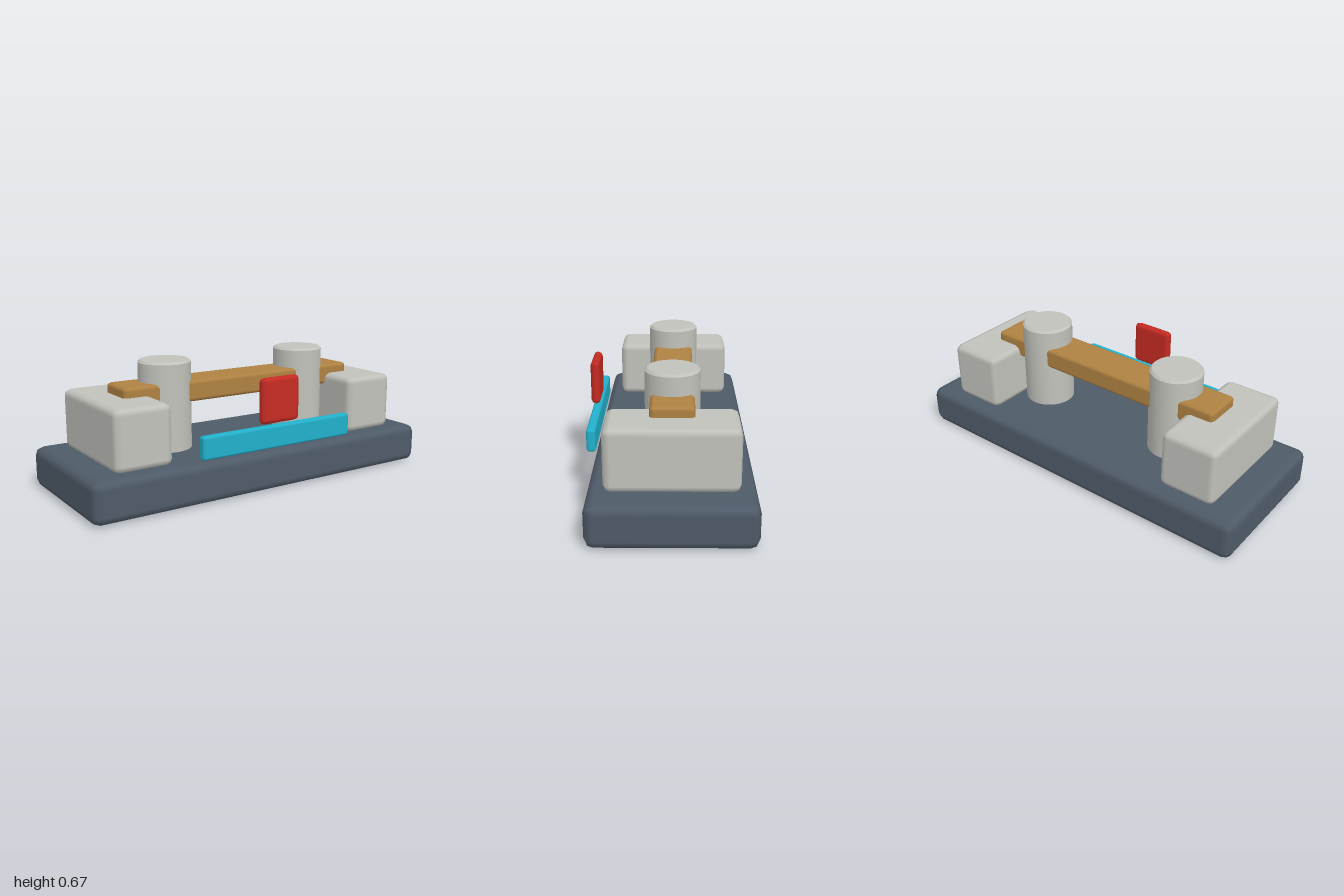
import * as THREE from 'three';
import { toCreasedNormals } from 'three/addons/utils/BufferGeometryUtils.js';
import { RoundedBoxGeometry } from 'three/addons/geometries/RoundedBoxGeometry.js';

function material(name, color) {
  const m = new THREE.MeshStandardMaterial({ color });
  m.name = name;
  return m;
}

export function createModel() {
  const model = new THREE.Group();
  model.name = 'bridgeModel';

  const slate = material('slate', 0x4f5b69);
  const stone = material('stone', 0xc1c2bb);
  const timber = material('timber', 0xb08242);
  const red = material('red', 0xc62b22);
  const cyan = material('cyan', 0x22b1cc);

  // Bevelled box given by its extents on each axis
  function box(name, mat, [x0, x1], [y0, y1], [z0, z1], bevel) {
    const geometry = new RoundedBoxGeometry(x1 - x0, y1 - y0, z1 - z0, 1, bevel);
    const mesh = new THREE.Mesh(geometry, mat);
    mesh.name = name;
    mesh.position.set((x0 + x1) / 2, (y0 + y1) / 2, (z0 + z1) / 2);
    model.add(mesh);
  }

  // Base slab
  box('base', slate, [-1, 1], [0, 0.212], [-0.41, 0.37], 0.045);

  // End blocks and round pillars, mirrored left and right
  const r = 0.135, bottom = 0.2, top = 0.67, chamfer = 0.012;
  const profile = [
    [0, bottom], [r, bottom], [r, top - chamfer], [r - chamfer, top], [0, top],
  ].map(([x, y]) => new THREE.Vector2(x, y));
  const pillarGeometry = toCreasedNormals(new THREE.LatheGeometry(profile, 32), 0.5);

  for (const [side, s] of [['left', 1], ['right', -1]]) {
    const xs = s > 0 ? [0.547, 0.853] : [-0.853, -0.547];
    box(side + 'Block', stone, xs, [0.205, 0.513], [-0.332, 0.292], 0.035);

    const pillar = new THREE.Mesh(pillarGeometry, stone);
    pillar.name = side + 'Pillar';
    pillar.position.set(s * 0.425, 0, -0.02);
    model.add(pillar);
  }

  // Cross beam running through the pillars
  box('beam', timber, [-0.702, 0.702], [0.452, 0.563], [-0.125, 0.085], 0.02);

  // Floating front plates
  box('frontStrip', cyan, [-0.453, 0.453], [0.237, 0.355], [0.357, 0.404], 0.014);
  box('frontMarker', red, [-0.115, 0.115], [0.366, 0.6], [0.362, 0.41], 0.0235);

  return model;
}
